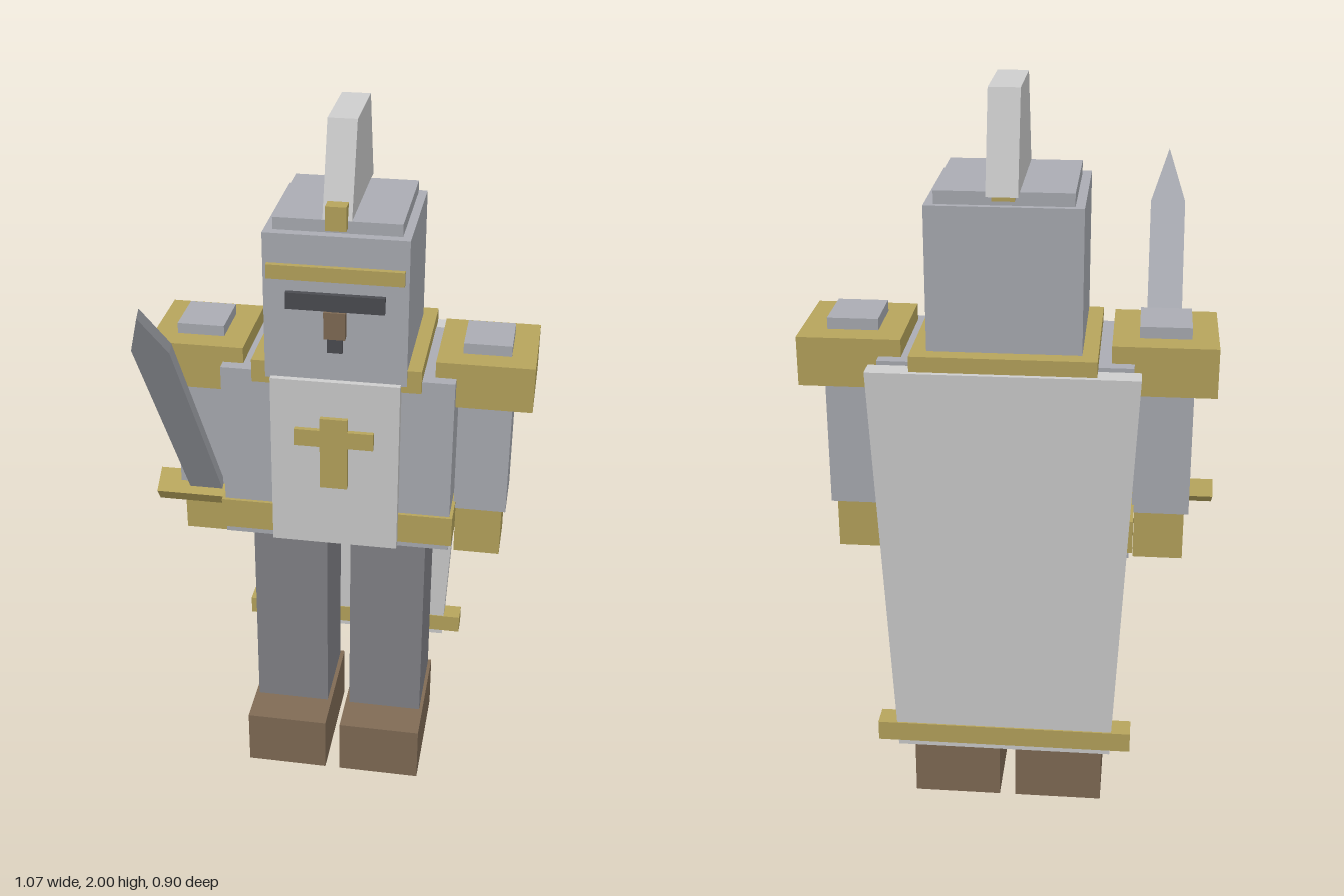
import * as THREE from 'three';

const mat = (name, color) => {
  const m = new THREE.MeshStandardMaterial({ color });
  m.name = name;
  return m;
};

export function createModel() {
  const armour = mat('armour grey', 0xaaacb3);
  const mail = mat('mail grey', 0x828388);
  const cloth = mat('pale cloth', 0xcdcdcd);
  const gold = mat('gold', 0xb6a45c);
  const leather = mat('brown leather', 0x806b55);
  const dark = mat('dark slot', 0x4b4c51);

  const model = new THREE.Group();
  model.name = 'knight';
  model.position.x = 0.003;

  // Box given by its extents on each axis
  const box = (name, m, [x0, x1], [y0, y1], [z0, z1], parent = model) => {
    const mesh = new THREE.Mesh(new THREE.BoxGeometry(x1 - x0, y1 - y0, z1 - z0), m);
    mesh.position.set((x0 + x1) / 2, (y0 + y1) / 2, (z0 + z1) / 2);
    mesh.name = name;
    parent.add(mesh);
    return mesh;
  };
  const mid = (w) => [-w / 2, w / 2];

  // Flat outline extruded and centred on its thickness
  const plate = (name, m, points, depth, parent = model) => {
    const shape = new THREE.Shape(points.map(([x, y]) => new THREE.Vector2(x, y)));
    const geo = new THREE.ExtrudeGeometry(shape, { depth, bevelEnabled: false });
    geo.translate(0, 0, -depth / 2);
    const mesh = new THREE.Mesh(geo, m);
    mesh.name = name;
    parent.add(mesh);
    return mesh;
  };

  // Legs, boots, arms and shoulder guards
  for (const [side, s] of [['left', 1], ['right', -1]]) {
    const pair = (name, m, a, b, y, z) =>
      box(side + name, m, s > 0 ? [a, b] : [-b, -a], y, z);
    pair('Boot', leather, 0.022, 0.262, [0, 0.17], [-0.33, 0.04]);
    pair('Leg', mail, 0.034, 0.252, [0.17, 0.81], [-0.32, -0.075]);
    pair('Arm', armour, 0.325, 0.473, [0.888, 1.25], [-0.287, -0.11]);
    pair('Hand', gold, 0.331, 0.462, [0.745, 0.888], [-0.262, -0.11]);
    pair('ShoulderGuard', gold, 0.264, 0.529, [1.24, 1.37], [-0.343, -0.057]);
    pair('ShoulderCap', armour, 0.331, 0.462, [1.37, 1.4], [-0.276, -0.124]);
  }

  // Torso, belt and collar
  box('torso', armour, mid(0.642), [0.8, 1.325], [-0.375, -0.023]);
  box('belt', gold, mid(0.66), [0.82, 0.91], [-0.385, -0.013]);
  box('collar', gold, mid(0.464), [1.32, 1.36], [-0.431, -0.014]);
  box('collarFront', gold, mid(0.464), [1.295, 1.36], [-0.055, -0.012]);

  // Tabard with cross emblem
  box('tabard', cloth, mid(0.355), [0.81, 1.32], [-0.03, 0.01]);
  const [a, b] = [0.038, 0.109];
  const cross = plate('cross', gold, [
    [-a, 1.0], [a, 1.0], [a, 1.128], [b, 1.128], [b, 1.178], [a, 1.178],
    [a, 1.215], [-a, 1.215], [-a, 1.178], [-b, 1.178], [-b, 1.128], [-a, 1.128],
  ], 0.02);
  cross.position.z = 0.014;

  // Helmet
  box('helmet', armour, mid(0.386), [1.315, 1.727], [-0.388, -0.007]);
  box('helmetTop', armour, mid(0.34), [1.727, 1.76], [-0.372, -0.034]);
  box('browBand', gold, mid(0.364), [1.607, 1.646], [-0.02, 0.008]);
  box('eyeSlot', dark, mid(0.264), [1.525, 1.571], [-0.02, 0.008]);
  box('breathSlot', dark, mid(0.042), [1.405, 1.527], [-0.02, 0.005]);
  box('nose', leather, mid(0.058), [1.447, 1.523], [-0.02, 0.012]);

  // Crest with its clasps
  const crest = plate('crest', cloth,
    [[-0.035, 1.758], [-0.117, 2], [-0.346, 2], [-0.417, 1.758]].map(([z, y]) => [-z, y]), 0.077);
  crest.rotation.y = Math.PI / 2;
  box('frontClasp', gold, mid(0.055), [1.74, 1.805], [-0.06, -0.01]);
  box('backClasp', gold, mid(0.055), [1.74, 1.8], [-0.385, -0.34]);

  // Tapered cape with hem band
  const cape = plate('cape', cloth,
    [[-0.287, 0.235], [0.287, 0.235], [0.34, 1.32], [-0.34, 1.32]], 0.055);
  cape.position.z = -0.417;
  box('capeHem', gold, mid(0.682), [0.25, 0.305], [-0.449, -0.387]);

  // Sword leaning forward from the right hand
  const sword = new THREE.Group();
  sword.name = 'sword';
  sword.position.set(-0.396, 0.882, -0.122);
  sword.rotation.x = 0.611;
  model.add(sword);
  const w = 0.048;
  plate('blade', armour, [[-w, 0], [w, 0], [w, 0.82], [0, 0.978], [-w, 0.82]], 0.028, sword);
  box('guard', gold, mid(0.286), mid(0.048), mid(0.078), sword);
  box('grip', gold, mid(0.05), [-0.153, 0], mid(0.045), sword);

  return model;
}
